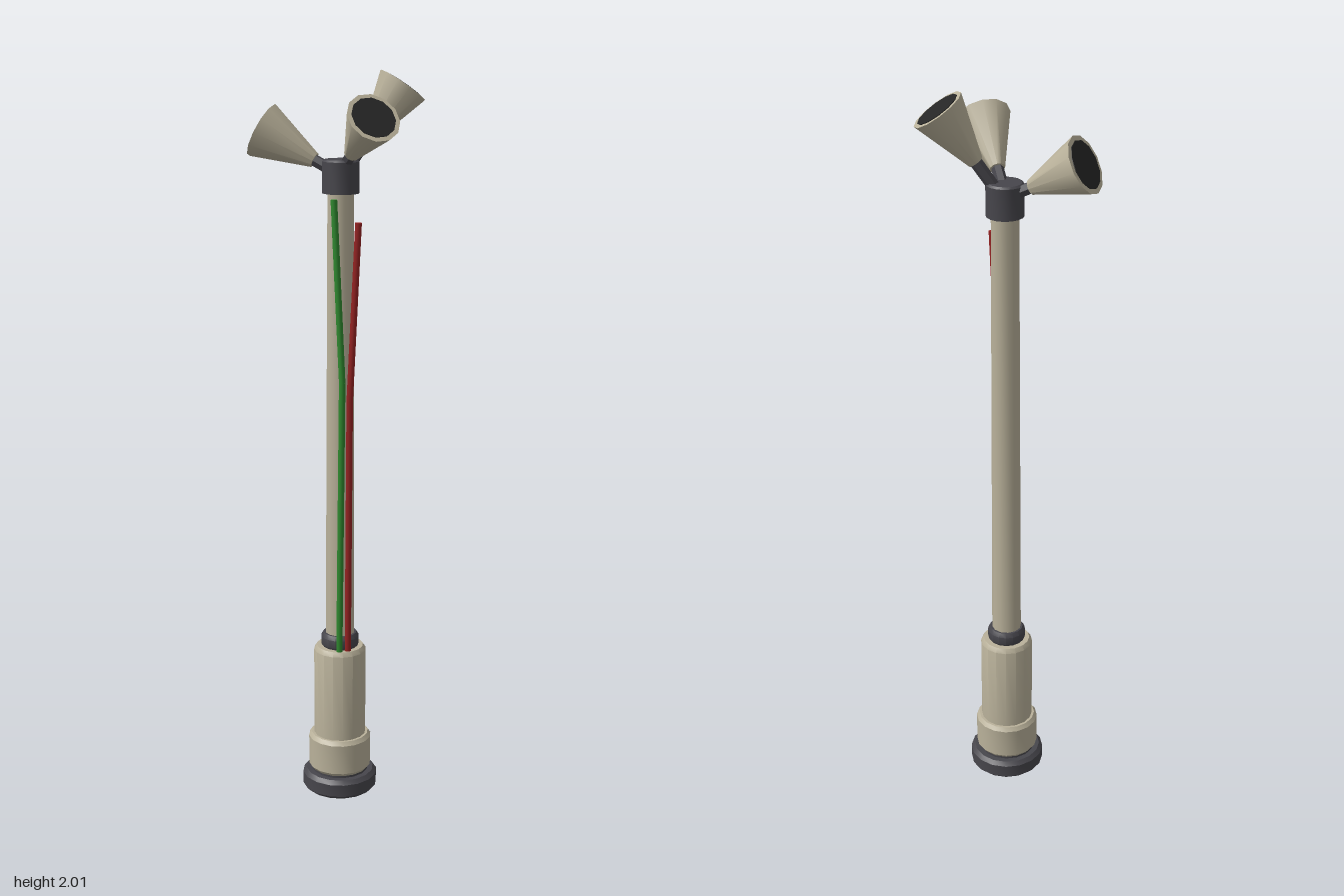
import * as THREE from 'three';
import { toCreasedNormals } from 'three/addons/utils/BufferGeometryUtils.js';

const AXIS = new THREE.Vector3(0.02, 0, -0.025);

export function createModel() {
  const model = new THREE.Group();
  model.name = 'hornMast';

  const material = (name, color) => {
    const m = new THREE.MeshStandardMaterial({ color });
    m.name = name;
    return m;
  };
  const beige = material('beige paint', 0xb9b19a);
  const grey = material('dark grey metal', 0x47464c);
  const black = material('black mouth', 0x262626);
  const red = material('red cable', 0x962222);
  const green = material('green cable', 0x2f8a2f);

  const add = (name, geometry, mat, parent = model) => {
    const mesh = new THREE.Mesh(geometry, mat);
    mesh.name = name;
    parent.add(mesh);
    return mesh;
  };

  // Turned parts that share the mast axis; profile is [radius, height] from bottom to top
  const turned = (name, mat, profile, sides = 16) => {
    const points = profile.map(([r, y]) => new THREE.Vector2(r, y));
    const mesh = add(name, toCreasedNormals(new THREE.LatheGeometry(points, sides), 0.6), mat);
    mesh.position.copy(AXIS);
  };
  turned('foot', grey, [[0, 0], [0.095, 0], [0.105, 0.01], [0.105, 0.045], [0.095, 0.056],
    [0.08, 0.056], [0.08, 0.068], [0, 0.068]]);
  turned('lowerCollar', beige, [[0, 0.062], [0.08, 0.062], [0.088, 0.072], [0.088, 0.157],
    [0.08, 0.168], [0, 0.168]]);
  turned('lowerSleeve', beige, [[0, 0.16], [0.073, 0.16], [0.073, 0.42], [0.065, 0.432], [0, 0.432]]);
  turned('mastRing', grey, [[0, 0.425], [0.046, 0.425], [0.053, 0.438], [0.053, 0.46],
    [0.046, 0.471], [0, 0.471]]);
  turned('pole', beige, [[0, 0.46], [0.041, 0.46], [0.036, 1.7], [0, 1.7]], 12);
  turned('topCap', grey, [[0, 1.693], [0.049, 1.693], [0.049, 1.775], [0.044, 1.78], [0, 1.78]]);

  // Horns: mouth centre, pointing direction, mouth radius
  const length = 0.16;
  const horn = (name, mouth, direction, radius) => {
    const group = new THREE.Group();
    group.name = name;
    group.position.set(...mouth);
    group.quaternion.setFromUnitVectors(new THREE.Vector3(0, 1, 0),
      new THREE.Vector3(...direction).normalize());
    model.add(group);
    const cone = new THREE.CylinderGeometry(radius, 0.02, length, 12);
    add('hornCone', toCreasedNormals(cone, 0.6), beige, group).position.y = -length / 2;
    add('hornMouth', new THREE.CylinderGeometry(radius * 0.83, radius * 0.83, 0.004, 12), black, group);
    // Arm running from the cone back into the cap
    const arm = new THREE.CylinderGeometry(0.016, 0.016, 0.1, 6).toNonIndexed();
    arm.computeVertexNormals();
    add('hornArm', arm, grey, group).position.y = -length - 0.04;
  };
  horn('rightHorn', [-0.193, 1.85, -0.025], [-0.886, 0.464, 0], 0.076);
  horn('backLeftHorn', [0.163, 1.965, -0.104], [0.5, 0.82, -0.27], 0.071);
  horn('frontLeftHorn', [0.143, 1.896, 0.115], [0.51, 0.61, 0.59], 0.071);

  // Cables bent once on their way up; each run is a thin cylinder with closed ends
  const cable = (name, mat, points) => {
    const p = points.map((c) => new THREE.Vector3(...c));
    for (let i = 0; i < p.length - 1; i++) {
      const run = p[i + 1].clone().sub(p[i]);
      const mesh = add(name, new THREE.CylinderGeometry(0.009, 0.009, run.length(), 8), mat);
      mesh.position.copy(p[i]).addScaledVector(run, 0.5);
      mesh.quaternion.setFromUnitVectors(new THREE.Vector3(0, 1, 0), run.normalize());
    }
  };
  cable('redCable', red, [[0.054, 0.425, 0.016], [0.06, 1.15, 0.026], [0.084, 1.625, 0.034]]);
  cable('greenCable', green, [[0.033, 0.425, 0.028], [0.041, 1.2, 0.033], [0.018, 1.682, 0.034]]);

  return model;
}
